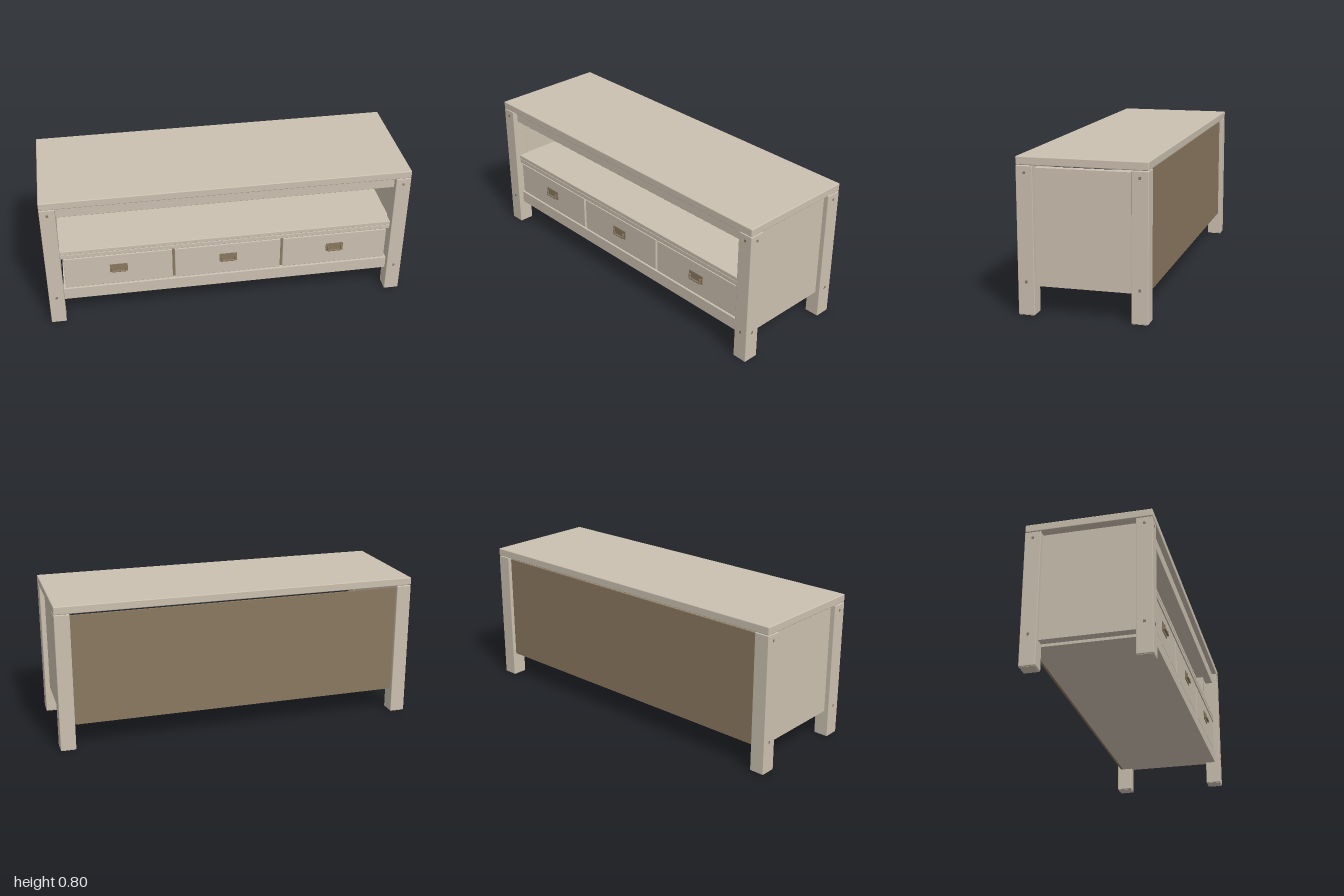
import * as THREE from 'three';
import { RoundedBoxGeometry } from 'three/addons/geometries/RoundedBoxGeometry.js';

export function createModel() {
  const group = new THREE.Group();
  const wood = new THREE.MeshStandardMaterial({ color: 0xcbc0b0 });
  wood.name = 'pale wood';
  const brown = new THREE.MeshStandardMaterial({ color: 0x8a7860 });
  brown.name = 'brown';

  // Box given by its limits on each axis; r rounds the edges
  function box(name, [x0, x1], [y0, y1], [z0, z1], mat = wood, r = 0) {
    const s = [x1 - x0, y1 - y0, z1 - z0];
    const geo = r ? new RoundedBoxGeometry(...s, 2, r) : new THREE.BoxGeometry(...s);
    const mesh = new THREE.Mesh(geo, mat);
    mesh.position.set((x0 + x1) / 2, (y0 + y1) / 2, (z0 + z1) / 2);
    mesh.name = name;
    group.add(mesh);
    return mesh;
  }
  const around = (c, size) => [c - size / 2, c + size / 2];
  const mirrored = (s, a, b) => (s > 0 ? [a, b] : [-b, -a]);

  box('tableTop', [-1, 1], [0.757, 0.8], [-0.333, 0.333], wood, 0.005);

  for (const sx of [-1, 1]) {
    const side = sx > 0 ? 'left' : 'right';
    box(side + 'SidePanel', mirrored(sx, 0.925, 0.973), [0.147, 0.742], [-0.25, 0.25]);
    for (const sz of [-1, 1]) {
      box(side + (sz > 0 ? 'FrontLeg' : 'BackLeg'), mirrored(sx, 0.917, 1), [0.002, 0.755],
        mirrored(sz, 0.247, 0.333), wood, 0.004);
      box('footPad', mirrored(sx, 0.922, 0.995), [0, 0.004], mirrored(sz, 0.252, 0.328));
      // Square pegs on the outer faces, and on the front of the front legs
      for (const y of [0.172, 0.72]) {
        box('sidePeg', mirrored(sx, 0.995, 1.0005), around(y, 0.014), around(sz * 0.29, 0.013), brown);
        if (sz > 0) box('frontPeg', around(sx * 0.958, 0.013), around(y, 0.014), [0.328, 0.3335], brown);
      }
    }
  }

  // Carcass: back, floor, shelf and front rails
  box('backPanel', [-0.919, 0.919], [0.137, 0.742], [-0.313, -0.3], brown);
  box('floorPanel', [-0.917, 0.917], [0.136, 0.156], [-0.295, 0.285]);
  box('shelf', [-0.924, 0.924], [0.437, 0.46], [-0.3, 0.305], wood, 0.003);
  box('shelfRail', [-0.917, 0.917], [0.412, 0.437], [0.26, 0.305], wood, 0.003);
  box('topRail', [-0.917, 0.917], [0.688, 0.757], [0.26, 0.305], wood, 0.003);
  box('bottomRail', [-0.917, 0.917], [0.136, 0.208], [0.26, 0.305], wood, 0.003);

  // Dividers set back in the gaps between drawers
  for (const x of [-0.303, 0.303]) box('divider', around(x, 0.02), [0.156, 0.437], [-0.3, 0.283], brown);

  // Drawers with a back plate and a hanging pull
  for (const i of [-1, 0, 1]) {
    const x = i * 0.606;
    box('drawerFront', around(x, 0.592), [0.214, 0.406], [0.28, 0.302], wood, 0.003);
    box('drawerBox', around(x, 0.56), [0.22, 0.39], [-0.25, 0.28]);
    box('handlePlate', around(x, 0.098), [0.294, 0.345], [0.301, 0.306], brown);
    for (const s of [-1, 1]) box('pullArm', around(x + s * 0.037, 0.007), [0.302, 0.33], [0.306, 0.318], brown, 0.002);
    box('pullBar', around(x, 0.08), [0.3, 0.309], [0.31, 0.32], brown, 0.003);
  }
  return group;
}
